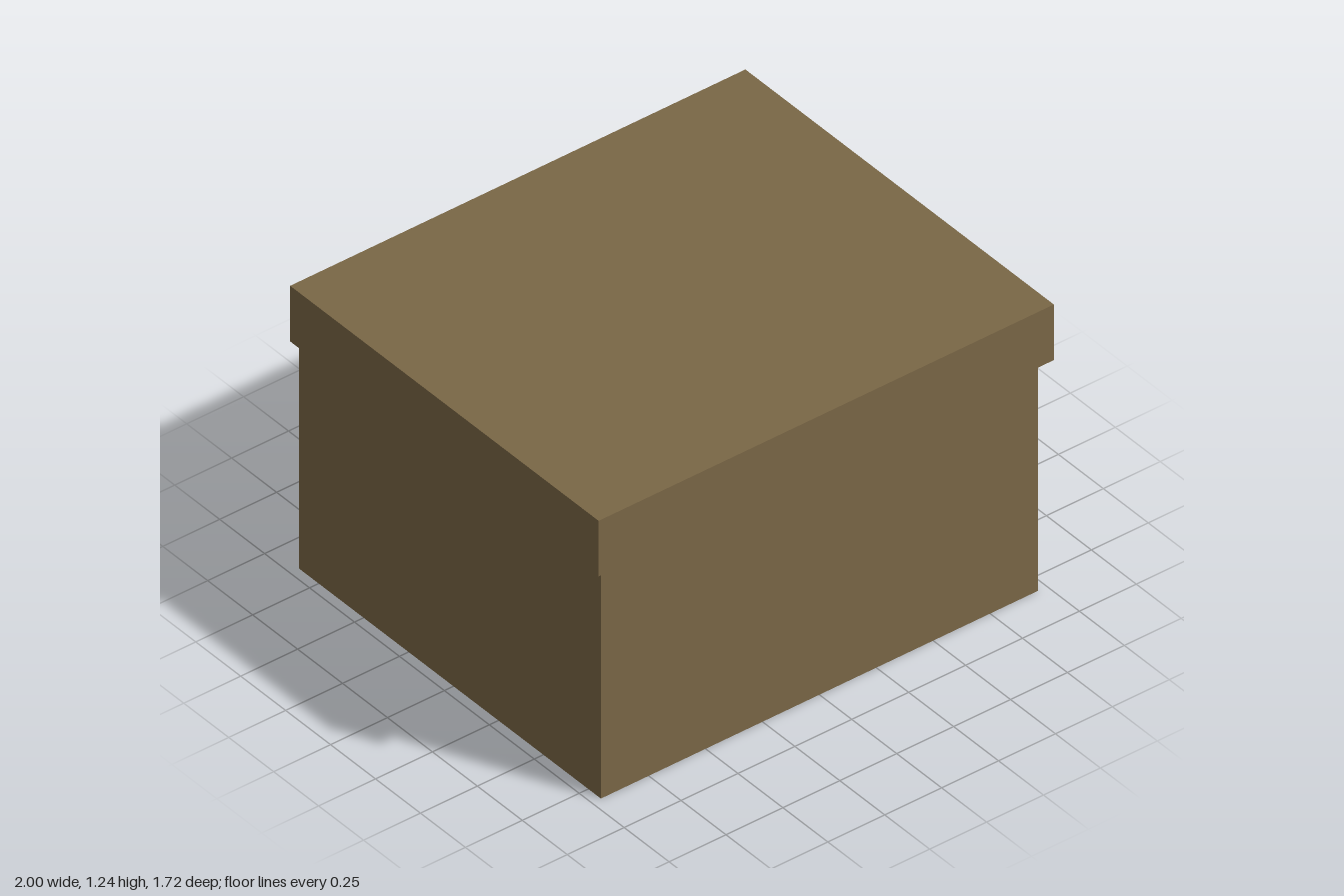
import * as THREE from 'three';

export function createModel() {
  const group = new THREE.Group();
  group.name = 'liddedBox';
  const material = new THREE.MeshStandardMaterial({ color: 0x7a6746 });

  // Adds a box from its width, its vertical range and its depth range
  function addBox(name, width, [y0, y1], [z0, z1]) {
    const mesh = new THREE.Mesh(new THREE.BoxGeometry(width, y1 - y0, z1 - z0), material);
    mesh.name = name;
    mesh.position.set(0, (y0 + y1) / 2, (z0 + z1) / 2);
    group.add(mesh);
  }

  // Body, flush with the lid at the back
  addBox('body', 1.92, [0, 1], [-0.858, 0.82]);

  // Lid, overhanging at the front and both sides
  addBox('lid', 2, [1, 1.24], [-0.858, 0.858]);

  return group;
}
